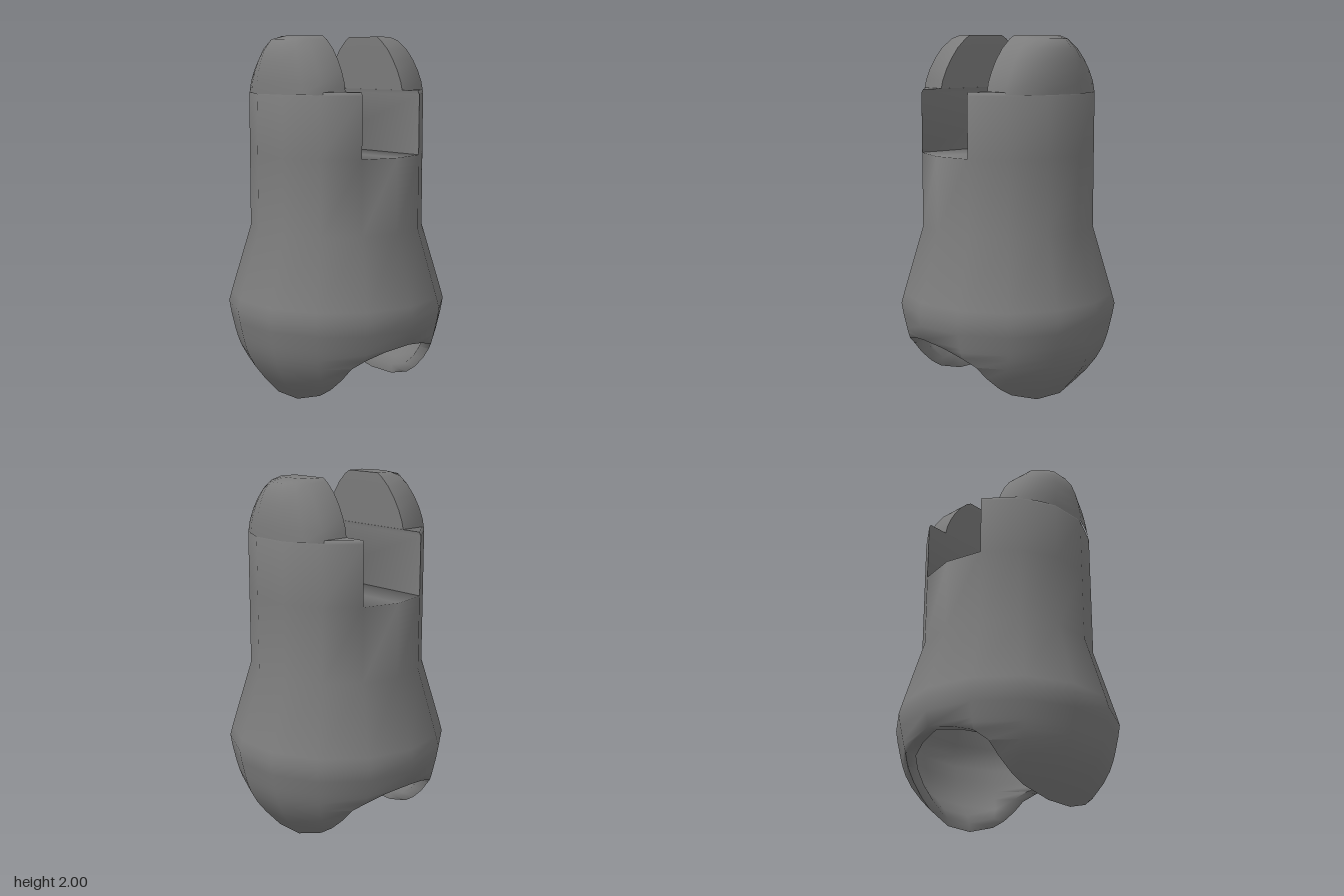
import * as THREE from 'three';
import { toCreasedNormals } from 'three/addons/utils/BufferGeometryUtils.js';

const SIDES = 14;

// Skin a stack of closed loops; loops run from +x over +z to -x, then close.
// skip(i, j) leaves out the face between rows i, i+1 at column j.
function skin(loops, skip = () => false) {
  const tris = [];
  const n = loops[0].length;
  for (let i = 0; i < loops.length - 1; i++) {
    for (let j = 0; j < n; j++) {
      if (skip(i, j)) continue;
      const k = (j + 1) % n, lo = loops[i], hi = loops[i + 1];
      tris.push([lo[j], hi[j], lo[k]], [lo[k], hi[j], hi[k]]);
    }
  }
  return tris;
}

// Close a loop with a fan facing up or down.
function cap(loop, up) {
  const tris = [];
  for (let j = 1; j < loop.length - 1; j++) {
    tris.push(up ? [loop[0], loop[j + 1], loop[j]] : [loop[0], loop[j], loop[j + 1]]);
  }
  return tris;
}

function toGeometry(tris, crease) {
  const g = new THREE.BufferGeometry();
  g.setAttribute('position', new THREE.Float32BufferAttribute(tris.flat(2), 3));
  return toCreasedNormals(g, crease);
}

// Half of a 14-sided ring of radius r at height y, trimmed to z >= h.
function halfRing([y, r, h]) {
  const corner = j => {
    const a = (j * 2 * Math.PI) / SIDES;
    return [r * Math.cos(a), r * Math.sin(a)];
  };
  let edgeX = r;
  for (let j = 0; j < 3; j++) {
    const [x0, z0] = corner(j), [x1, z1] = corner(j + 1);
    if (h >= z0 && h <= z1) edgeX = x0 + ((x1 - x0) * (h - z0)) / (z1 - z0);
  }
  const loop = [];
  for (let j = 0; j <= SIDES / 2; j++) {
    const [x, z] = corner(j);
    loop.push(z < h ? [Math.sign(x) * edgeX, y, h] : [x, y, z]);
  }
  return loop;
}

function bodyGeometry() {
  // Hollow shell rows: height, radius, half-width of the arch cut through it
  const shellRows = [
    [0, 0.375, 0.365], [0.05, 0.42, 0.337], [0.1, 0.465, 0.325], [0.17, 0.518, 0.312],
    [0.24, 0.556, 0.298], [0.29, 0.574, 0.25], [0.325, 0.584, 0.14], [0.35, 0.59, 0],
    [0.43, 0.608, 0], [0.5, 0.62, 0], [0.56, 0.604, 0], [0.94, 0.49, 0], [1.355, 0.49, 0],
  ];
  const shellLoops = shellRows.map(row => {
    const [y, r, h] = row;
    const inner = halfRing([Math.min(y, 1.25), r - Math.min(0.06, y * 0.8), h]);
    return [...halfRing(row), ...inner.reverse()];
  });
  const rimColumn = j => j % 8 === 7;
  const shell = skin(shellLoops,
    (i, j) => rimColumn(j) && shellRows[i][2] === 0 && shellRows[i + 1][2] === 0);
  const ceiling = cap(halfRing([1.25, 0.43, 0]), false);

  // Slot floor and the cheek standing beside it
  const cheekLoops = [
    [1.355, 0.49, 0], [1.355, 0.49, 0.212], [1.685, 0.49, 0.212], [1.705, 0.481, 0.208],
  ].map(halfRing);
  const cheek = [...skin(cheekLoops), ...cap(cheekLoops[3], true)];

  // The back half is the front half turned around
  const half = [...shell, ...ceiling, ...cheek];
  const turned = half.map(t => t.map(([x, y, z]) => [-x, y, -z]));
  return toGeometry([...half, ...turned], 1.7);
}

function earGeometry() {
  // Rows: height, half-width, corner depth, outer depth, inner face
  const loops = [
    [1.69, 0.312, 0.376, 0.478, 0.212], [1.75, 0.3, 0.374, 0.478, 0.209],
    [1.81, 0.276, 0.37, 0.474, 0.207], [1.87, 0.243, 0.364, 0.465, 0.204],
    [1.93, 0.2, 0.354, 0.45, 0.202], [1.98, 0.147, 0.335, 0.42, 0.2],
    [2, 0.115, 0.3, 0.33, 0.2],
  ].map(([y, w, zc, d, zi]) => {
    const right = [[w, zi], [w, zc], [w * 0.7, zc + (d - zc) * 0.55], [w * 0.36, d]];
    const left = right.map(([x, z]) => [-x, z]).reverse();
    return [...right, ...left].map(([x, z]) => [x, y, z]);
  });
  return toGeometry([...skin(loops), ...cap(loops[loops.length - 1], true)], 1.3);
}

export function createModel() {
  const group = new THREE.Group();
  const material = new THREE.MeshStandardMaterial({ color: 0x7c7c7c });
  const add = (name, geometry) => {
    const mesh = new THREE.Mesh(geometry, material);
    mesh.name = name;
    group.add(mesh);
    return mesh;
  };

  add('body', bodyGeometry());
  const ear = earGeometry();
  add('frontEar', ear);
  add('backEar', ear).rotation.y = Math.PI;
  return group;
}
